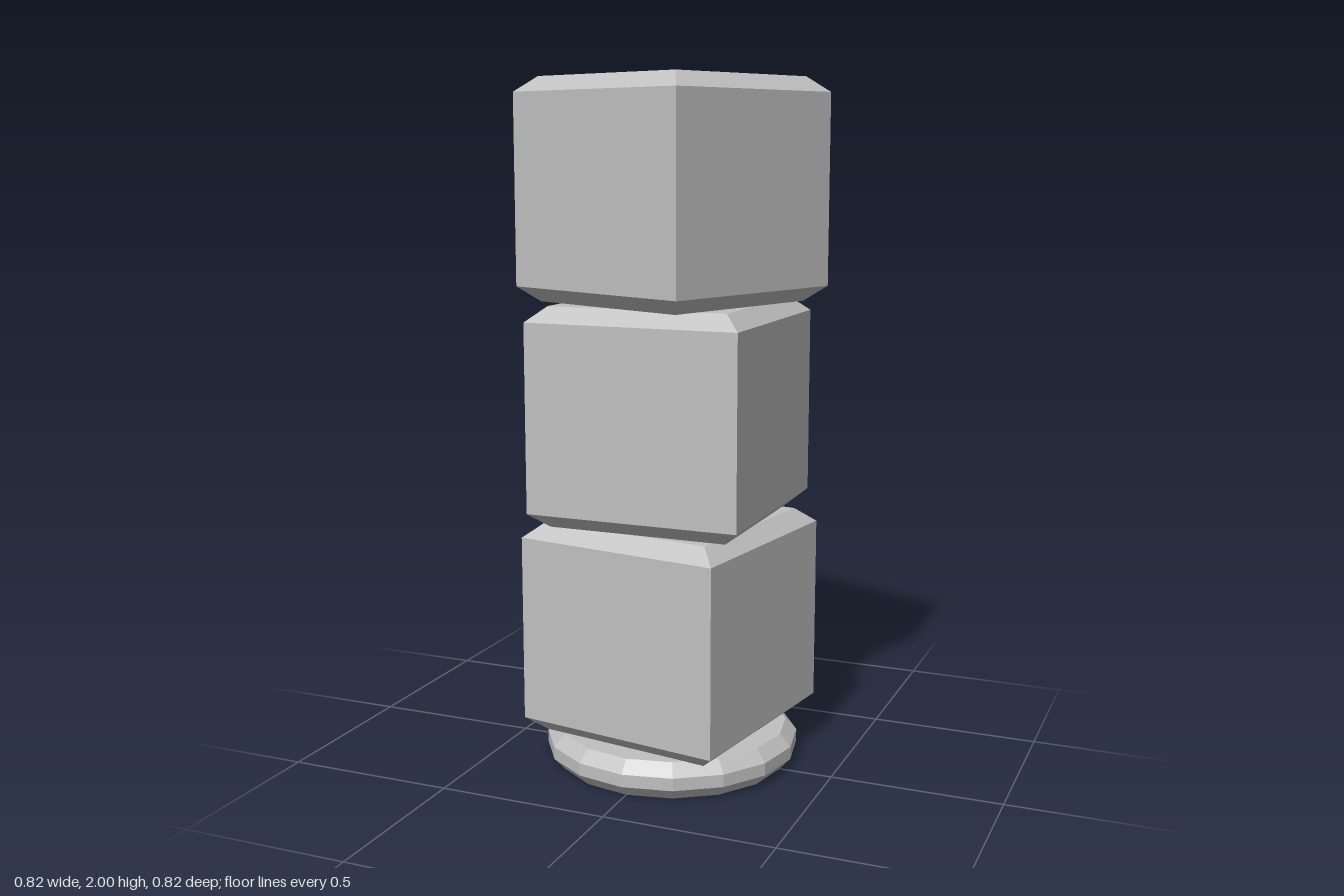
import * as THREE from 'three';

// Closed solid turned from (radius, y) pairs, bottom to top
function turned(profile, sides, phiStart, material, name) {
  const points = profile.map(([r, y]) => new THREE.Vector2(r, y));
  const geometry = new THREE.LatheGeometry(points, sides, phiStart);
  const mesh = new THREE.Mesh(geometry, material);
  mesh.name = name;
  return mesh;
}

export function createModel() {
  const group = new THREE.Group();
  group.name = 'twistedBlockPillar';
  const stone = new THREE.MeshStandardMaterial({ color: 0xc0c0c0, flatShading: true });
  stone.name = 'greyStone';

  // Sixteen-sided bevelled foot
  group.add(turned(
    [[0, 0], [0.342, 0], [0.375, 0.036], [0.375, 0.073], [0.342, 0.108], [0, 0.108]],
    16, 0, stone, 'base'));

  // Three equal chamfered cubes, each twisted about the vertical axis
  const outer = 0.316 * Math.SQRT2, inner = 0.266 * Math.SQRT2;
  const height = 0.631, bevel = 0.043;
  const blocks = [['lowerBlock', -0.16], ['middleBlock', 0], ['upperBlock', -0.373]];
  blocks.forEach(([name, twist], i) => {
    const block = turned(
      [[0, 0], [inner, 0], [outer, bevel], [outer, height - bevel], [inner, height], [0, height]],
      4, Math.PI / 4, stone, name);
    block.position.y = 0.107 + i * height;
    block.rotation.y = twist;
    group.add(block);
  });
  return group;
}
